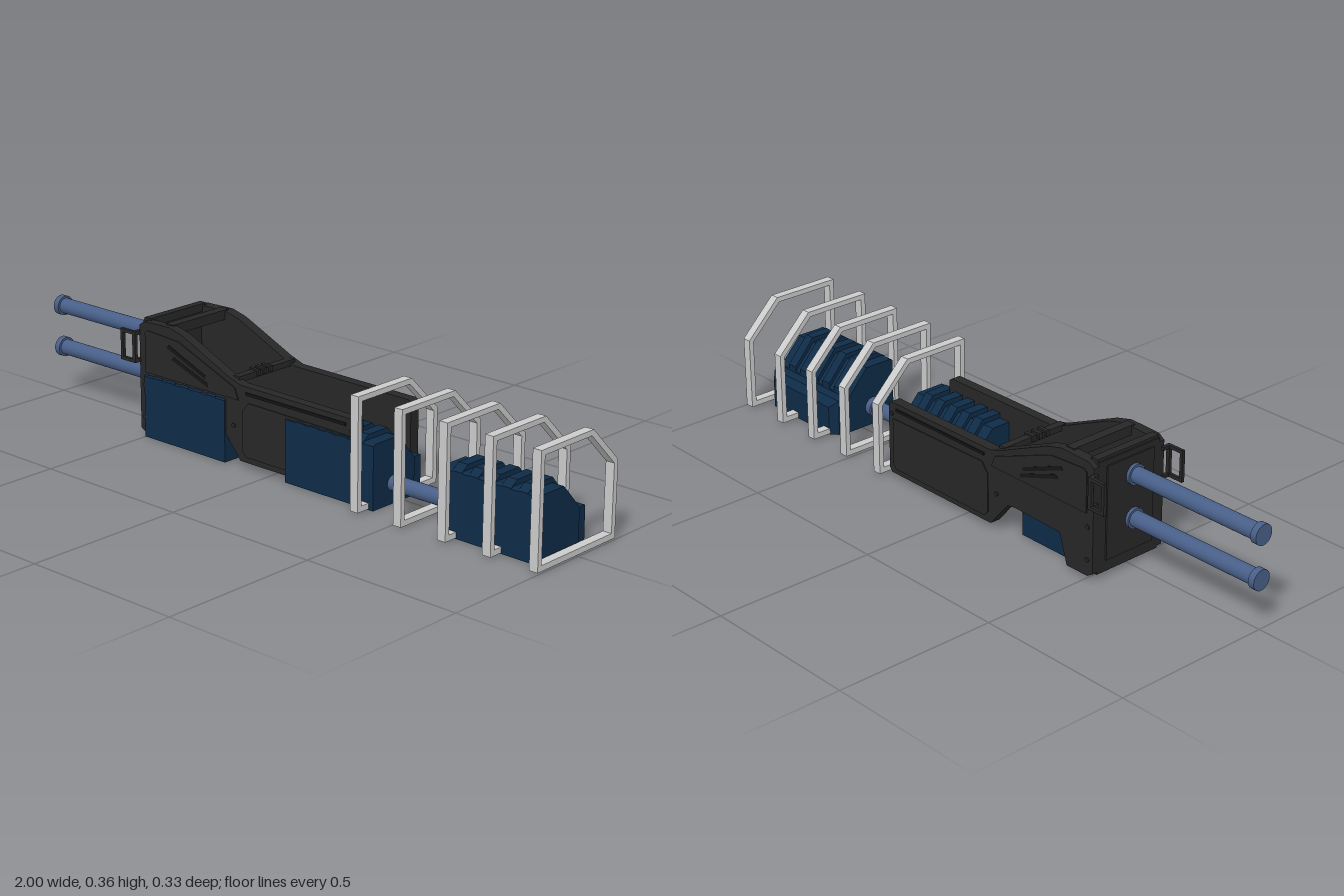
import * as THREE from 'three';
import { ConvexGeometry } from 'three/addons/geometries/ConvexGeometry.js';

const material = (color) => new THREE.MeshStandardMaterial({ color });
const toShape = (pts) => new THREE.Shape(pts.map(([a, b]) => new THREE.Vector2(a, b)));

// Outline in (z, y), extruded along x and centred on x
function alongX(pts, width, holePts) {
  const shape = toShape(pts);
  if (holePts) shape.holes.push(toShape(holePts));
  const geo = new THREE.ExtrudeGeometry(shape, { depth: width, bevelEnabled: false });
  return geo.translate(0, 0, -width / 2).rotateY(-Math.PI / 2);
}

// Outline in (x, y), filling the range z0..z1
function alongZ(pts, z0, z1) {
  const geo = new THREE.ExtrudeGeometry(toShape(pts), { depth: z1 - z0, bevelEnabled: false });
  return geo.translate(0, 0, z0);
}

function add(parent, name, geo, mat, x = 0, y = 0, z = 0) {
  const mesh = new THREE.Mesh(geo, mat);
  mesh.name = name;
  mesh.position.set(x, y, z);
  parent.add(mesh);
  return mesh;
}

// Box given by its limits
function block(parent, name, mat, [x0, x1], [y0, y1], [z0, z1]) {
  return add(parent, name, new THREE.BoxGeometry(x1 - x0, y1 - y0, z1 - z0), mat,
    (x0 + x1) / 2, (y0 + y1) / 2, (z0 + z1) / 2);
}

export function createModel() {
  const model = new THREE.Group();
  model.name = 'pipeAssembly';
  const ringMat = material(0xcccccc);
  const frameMat = material(0x272727);
  const grooveMat = material(0x161616);
  const caseMat = material(0x0e2b47);
  const rodMat = material(0x485f88);

  // Square hoops with one cut corner
  const hoopOuter = [[0.168, 0.003], [0.168, 0.338], [-0.052, 0.338], [-0.165, 0.226], [-0.165, 0.003]];
  const hoopInner = [[0.152, 0.02], [0.152, 0.322], [-0.045, 0.322], [-0.149, 0.219], [-0.149, 0.02]];
  const hoopGeo = alongX(hoopOuter, 0.028, hoopInner);
  for (const x of [0.365, 0.52, 0.675, 0.828, 0.983]) add(model, 'hoop', hoopGeo, ringMat, x);

  // Ribbed cases
  const bodyGeo = alongX([[0.123, 0], [0.123, 0.188], [0.115, 0.193], [0.022, 0.193],
    [-0.05, 0.115], [-0.05, 0]], 0.33);
  const ribGeo = alongX([[0.123, 0.15], [0.123, 0.19], [0.098, 0.208], [0.02, 0.208],
    [-0.05, 0.13], [-0.05, 0.1], [0, 0.1]], 0.032);
  const stepPoints = [];
  for (const s of [-1, 1]) {
    for (const [x, y, z] of [[0.158, 0, -0.045], [0.158, 0.11, -0.045], [0.158, 0, -0.085],
      [0.158, 0.11, -0.083], [0.135, 0, -0.105], [0.135, 0.09, -0.105]]) {
      stepPoints.push(new THREE.Vector3(s * x, y, z));
    }
  }
  const stepGeo = new ConvexGeometry(stepPoints);
  for (const x of [-0.337, 0.23, 0.798]) {
    const box = new THREE.Group();
    box.name = 'case';
    box.position.x = x;
    add(box, 'caseBody', bodyGeo, caseMat);
    add(box, 'caseStep', stepGeo, caseMat);
    for (let i = -2; i <= 2; i++) add(box, 'caseRib', ribGeo, caseMat, i * 0.055);
    model.add(box);
  }

  // Rods with end collars
  function rod(name, x0, x1, y, z, r) {
    const group = new THREE.Group();
    group.name = name;
    const piece = (part, a, b, radius) => add(group, part,
      new THREE.CylinderGeometry(radius, radius, b - a, 24).rotateZ(Math.PI / 2), rodMat, (a + b) / 2, y, z);
    piece('rodShaft', x0 + 0.001, x1 - 0.001, r);
    piece('rodCollar', x0, x0 + 0.02, r * 1.28);
    piece('rodCollar', x1 - 0.02, x1, r * 1.28);
    model.add(group);
  }
  rod('upperRod', -1, -0.52, 0.28, 0, 0.024);
  rod('lowerRod', -1, -0.52, 0.147, 0, 0.024);
  rod('linkRod', -0.18, 0.63, 0.062, 0.04, 0.023);

  // Side plates of the frame
  const frame = new THREE.Group();
  frame.name = 'frame';
  model.add(frame);
  const plate = [[-0.525, 0.022], [-0.505, 0.01], [-0.425, 0.01], [-0.395, 0.1], [-0.215, 0.105],
    [-0.185, 0.1], [-0.115, 0.018], [0.315, 0.018], [0.325, 0.03], [0.325, 0.238], [0.315, 0.245],
    [-0.115, 0.247], [-0.16, 0.262], [-0.345, 0.343], [-0.4, 0.357], [-0.505, 0.354], [-0.525, 0.34]];
  const lowerPanel = [[-0.105, 0.05], [-0.09, 0.035], [0.295, 0.035], [0.305, 0.05], [0.305, 0.195],
    [-0.08, 0.2], [-0.105, 0.17]];
  const slantPanel = [[-0.5, 0.2], [-0.47, 0.2], [-0.12, 0.2], [-0.135, 0.235], [-0.36, 0.322],
    [-0.49, 0.33], [-0.5, 0.32]];
  const slots = [
    [[-0.41, 0.295], [-0.4, 0.305], [-0.25, 0.245], [-0.25, 0.233]],
    [[-0.39, 0.262], [-0.38, 0.272], [-0.24, 0.222], [-0.24, 0.21]],
    [[-0.09, 0.222], [-0.09, 0.23], [0.29, 0.23], [0.29, 0.222]],
  ].map((p) => p.reverse());
  for (const [side, inner, outer] of [[1, 0.086, 0.117], [-1, -0.114, -0.147]]) {
    const span = (a, b) => [Math.min(a, b), Math.max(a, b)];
    add(frame, 'sidePlate', alongZ(plate, ...span(inner, outer)), frameMat);
    const face = span(outer - side * 0.002, outer + side * 0.003);
    add(frame, 'lowerPanel', alongZ(lowerPanel, ...face), frameMat);
    add(frame, 'slantPanel', alongZ(slantPanel, ...face), frameMat);
    for (const slot of slots) {
      add(frame, 'slot', alongZ(slot, ...span(outer, outer + side * 0.004)), grooveMat);
    }
    for (const [x, y] of [[-0.505, 0.06], [-0.505, 0.16], [-0.14, 0.12], [0.31, 0.21]]) {
      add(frame, 'bolt', new THREE.CylinderGeometry(0.007, 0.007, 0.006, 8).rotateX(Math.PI / 2),
        frameMat, x, y, outer + side * 0.001);
    }

    // Grab handle bent out of the end corner
    const handle = new THREE.Group();
    handle.name = 'handle';
    const h = side > 0 ? 0.134 : -0.161;
    const zs = [h - 0.005, h + 0.005];
    block(handle, 'handleGrip', frameMat, [-0.583, -0.573], [0.227, 0.323], zs);
    block(handle, 'handleRoot', frameMat, [-0.534, -0.522], [0.227, 0.323], zs);
    for (const y of [0.227, 0.313]) {
      block(handle, 'handleArm', frameMat, [-0.575, -0.53], [y, y + 0.01], zs);
      block(handle, 'handleBend', frameMat, [-0.534, -0.522], [y, y + 0.01], span(outer - side * 0.01, h));
    }
    frame.add(handle);
  }

  // End wall and cross members
  const across = [-0.13, 0.1];
  block(frame, 'endWall', frameMat, [-0.525, -0.5], [0.015, 0.352], across);
  block(frame, 'endWallPanel', frameMat, [-0.53, -0.52], [0.05, 0.335], [-0.1, 0.075]);
  block(frame, 'topCrossbar', frameMat, [-0.43, -0.4], [0.33, 0.36], across);
  block(frame, 'endCrossbar', frameMat, [-0.52, -0.495], [0.335, 0.36], across);
  block(frame, 'middleCrossbar', frameMat, [-0.157, -0.133], [0.245, 0.263], across);
  for (const z of [-0.025, 0, 0.025]) {
    block(frame, 'crossbarClip', frameMat, [-0.163, -0.127], [0.25, 0.268], [z - 0.006, z + 0.006]);
  }
  return model;
}
